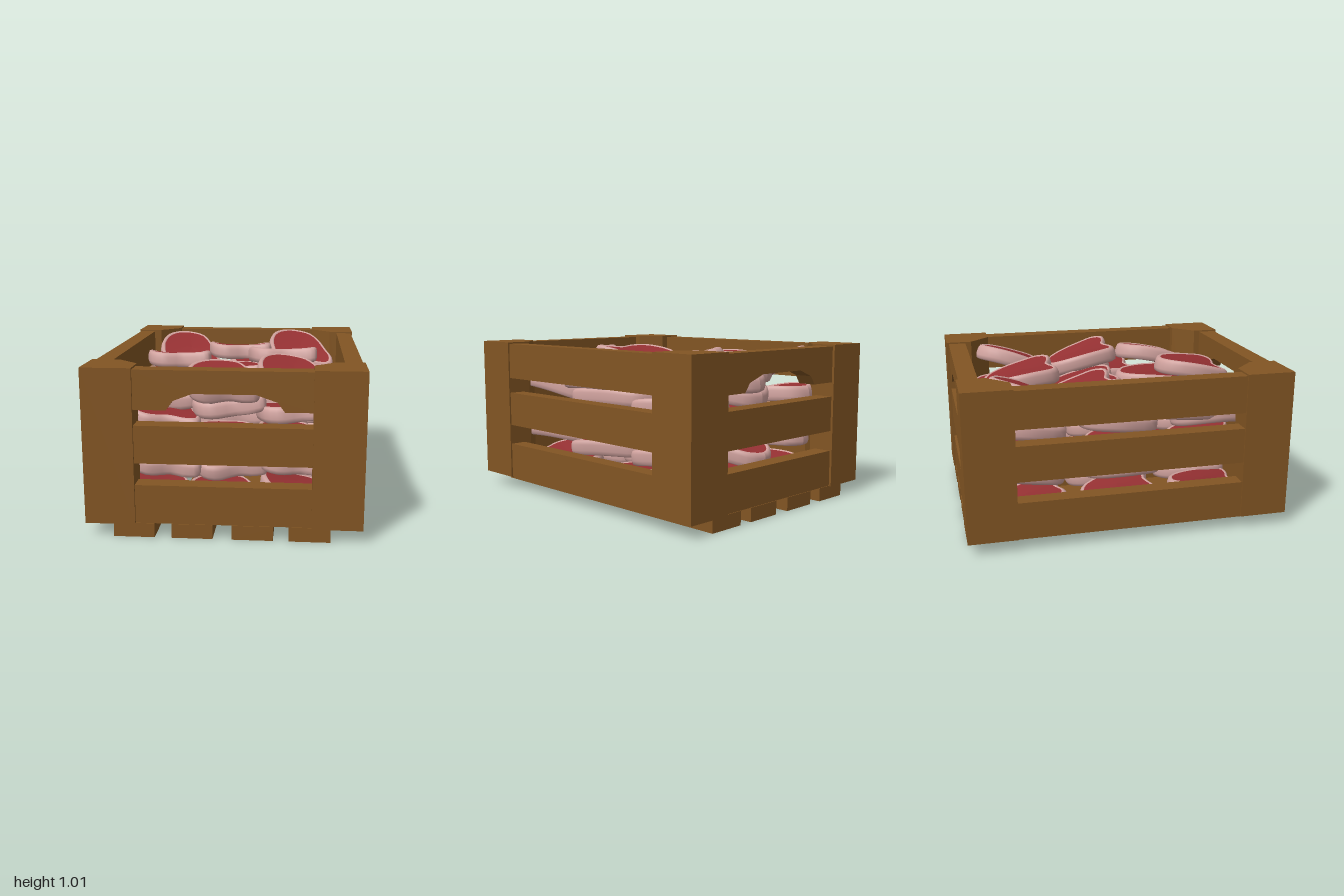
import * as THREE from 'three';
import { ParametricGeometry } from 'three/addons/geometries/ParametricGeometry.js';

const wood = new THREE.MeshStandardMaterial({ color: 0x825523 });
wood.name = 'wood';
const meat = new THREE.MeshStandardMaterial({ color: 0x963133 });
meat.name = 'redMeat';
const fat = new THREE.MeshStandardMaterial({ color: 0xd0a29e });
fat.name = 'paleFat';

function add(parent, name, geometry, material) {
  const mesh = new THREE.Mesh(geometry, material);
  mesh.name = name;
  parent.add(mesh);
  return mesh;
}

// Board given by its lower and upper corners
function board(parent, name, x0, x1, y0, y1, z0, z1) {
  const geo = new THREE.BoxGeometry(x1 - x0, y1 - y0, z1 - z0);
  geo.translate((x0 + x1) / 2, (y0 + y1) / 2, (z0 + z1) / 2);
  return add(parent, name, geo, wood);
}

// Flat shape extruded along z
function extrude(points, depth) {
  const shape = new THREE.Shape(points.map(([x, y]) => new THREE.Vector2(x, y)));
  return new THREE.ExtrudeGeometry(shape, { depth, bevelEnabled: false });
}

// Steak outline seen from above (x, z), with a small tail at one corner
const outline = new THREE.CatmullRomCurve3([
  [-0.05, -0.255], [0.06, -0.22], [0.135, -0.1], [0.19, 0.05], [0.235, 0.17],
  [0.22, 0.235], [0.15, 0.235], [0.05, 0.205], [-0.08, 0.245], [-0.17, 0.21],
  [-0.215, 0.1], [-0.23, -0.02], [-0.2, -0.15], [-0.13, -0.23],
].map(([x, z]) => new THREE.Vector3(x, 0, z)), true);

// Sweeps a profile of [scale, height] steps round the outline, with a slight bend
function sweep(profile, slices = 36) {
  const steps = profile.length - 1;
  const geo = new ParametricGeometry((u, v, target) => {
    const [s, h] = profile[Math.round(v * steps)];
    outline.getPoint(u % 1, target).multiplyScalar(s);
    target.y = h + 0.35 * target.x * target.x - 0.25 * target.z * target.z;
  }, slices, steps);
  geo.computeVertexNormals();
  return geo;
}

const rimGeo = sweep([[0.87, 0.044], [0.91, 0.05], [0.97, 0.042], [1, 0.02],
  [1, -0.02], [0.97, -0.042], [0.91, -0.05], [0.87, -0.044]]);
const topGeo = sweep([[0, 0.044], [0.45, 0.044], [0.87, 0.044]]);
const bottomGeo = sweep([[0.87, -0.044], [0.45, -0.044], [0, -0.044]]);

function steak(parent, x, y, z, rx, ry, rz) {
  const group = new THREE.Group();
  group.name = 'steak';
  add(group, 'fatRim', rimGeo, fat);
  add(group, 'meatTop', topGeo, meat);
  add(group, 'meatBottom', bottomGeo, meat);
  group.position.set(x, y, z);
  group.rotation.set(rx, ry, rz);
  parent.add(group);
}

export function createModel() {
  const root = new THREE.Group();
  root.name = 'crateOfSteaks';
  const crate = new THREE.Group();
  crate.name = 'crate';
  root.add(crate);

  // Floor slats
  for (const x of [-0.52, -0.18, 0.17, 0.5]) {
    board(crate, 'floorSlat', x - 0.12, x + 0.12, 0, 0.085, -0.99, 0.99);
  }

  // Corner posts with the inner corner cut off
  for (const sx of [-1, 1]) {
    for (const sz of [-1, 1]) {
      const geo = extrude([[0.805, 1], [0.805, 0.7], [0.64, 0.7], [0.51, 0.83], [0.51, 1]]
        .map(([x, z]) => [x * sx, z * sz]), 0.92);
      geo.rotateX(-Math.PI / 2);
      geo.translate(0, 0.08, 0);
      add(crate, 'cornerPost', geo, wood);
    }
  }

  // Side rails
  for (const s of [-1, 1]) {
    for (const [y0, y1] of [[0.085, 0.31], [0.44, 0.66], [0.76, 0.99]]) {
      const inner = s * 0.69, outer = s * 0.795;
      board(crate, 'sideRail', Math.min(inner, outer), Math.max(inner, outer), y0, y1, -0.71, 0.71);
    }
  }

  // End rails; the top one has a hand hold cut from its lower edge
  for (const z of [-0.985, 0.87]) {
    board(crate, 'endRail', -0.52, 0.52, 0.085, 0.315, z, z + 0.115);
    board(crate, 'endRail', -0.52, 0.52, 0.445, 0.668, z, z + 0.115);
    const geo = extrude([[-0.52, 0.99], [-0.52, 0.76], [-0.32, 0.76], [-0.28, 0.815],
      [-0.17, 0.857], [0.19, 0.857], [0.31, 0.815], [0.35, 0.76], [0.52, 0.76], [0.52, 0.99]], 0.115);
    geo.translate(0, 0, z);
    add(crate, 'handHoldRail', geo, wood);
  }

  // Lower layers of steaks, loosely stacked
  const pile = new THREE.Group();
  pile.name = 'steakPile';
  root.add(pile);
  let seed = 11;
  const vary = (amount) => {
    seed = (seed * 16807) % 2147483647;
    return (seed / 2147483647 * 2 - 1) * amount;
  };
  for (const y of [0.17, 0.36, 0.53, 0.68]) {
    for (const x of [-0.4, 0, 0.4]) {
      for (const z of [-0.58, 0, 0.58]) {
        steak(pile, x + vary(0.02), y + vary(0.03), z + vary(0.03),
          vary(0.16), vary(0.08), vary(0.14));
      }
    }
  }

  // Top layer: x, y, z, tilt about x, tilt about z
  for (const [x, y, z, rx, rz] of [
    [-0.42, 0.85, -0.25, -0.18, 0], [-0.02, 0.87, -0.56, -0.15, 0],
    [0.3, 0.9, -0.1, -0.22, 0], [0.41, 0.8, -0.12, -0.1, -0.08],
    [-0.06, 0.8, -0.15, -0.08, 0], [-0.42, 0.74, 0.41, 0.08, 0.1],
    [-0.02, 0.81, 0.33, 0.12, 0], [-0.03, 0.87, 0.6, 0.22, 0],
    [0.39, 0.87, 0.43, 0.25, -0.12], [-0.39, 0.85, -0.58, 0.42, -0.1],
    [0.42, 0.88, -0.56, 0.38, -0.1], [0.13, 0.77, -0.62, 0.1, 0],
    [-0.4, 0.76, -0.08, -0.05, 0], [0.42, 0.76, 0.08, 0, 0],
  ]) steak(pile, x, y, z, rx, 0, rz);

  return root;
}
